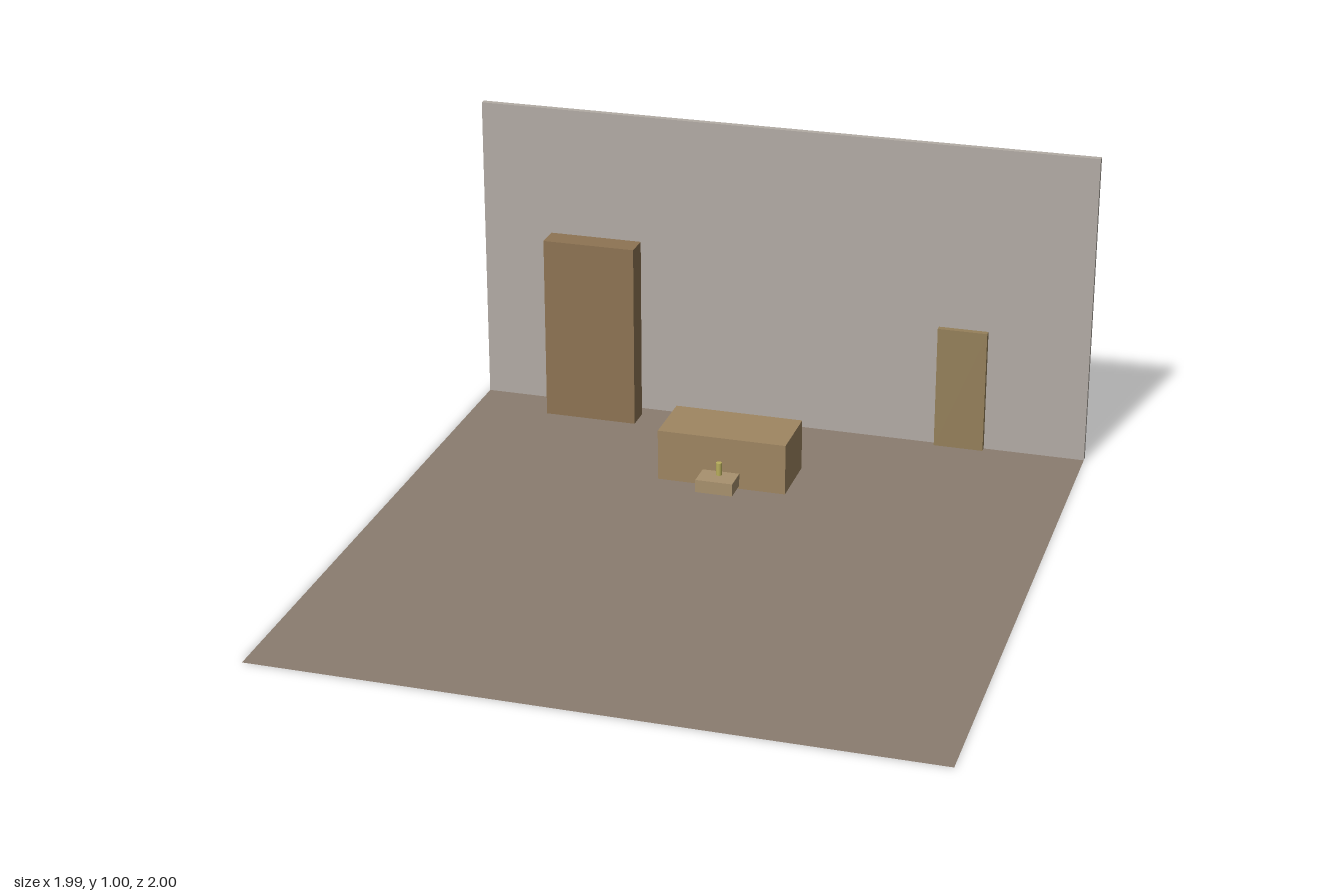
import * as THREE from 'three';

export function createModel() {
  const room = new THREE.Group();
  room.name = 'room';

  const add = (name, geometry, color, x, y, z) => {
    const mesh = new THREE.Mesh(geometry, new THREE.MeshStandardMaterial({ color }));
    mesh.name = name;
    mesh.position.set(x, y, z);
    room.add(mesh);
    return mesh;
  };

  // Box given by its extents along each axis
  const box = (name, color, [x0, x1], [y0, y1], [z0, z1]) =>
    add(name, new THREE.BoxGeometry(x1 - x0, y1 - y0, z1 - z0), color,
      (x0 + x1) / 2, (y0 + y1) / 2, (z0 + z1) / 2);

  // Floor sheet, seen from both sides
  const floor = add('floor', new THREE.PlaneGeometry(1.99, 1.99).rotateX(-Math.PI / 2), 0x8b7d70, 0, 0, 0.005);
  floor.material.side = THREE.DoubleSide;

  // Back wall
  box('backWall', 0xb3aca5, [-0.995, 0.995], [0, 1], [-1, -0.98]);

  // Furniture
  box('cabinet', 0x8e7453, [-0.75, -0.45], [0, 0.6], [-0.93, -0.85]);
  box('door', 0x95805a, [0.516, 0.674], [0, 0.4], [-0.98, -0.96]);
  box('desk', 0x9f8662, [-0.2, 0.2], [0.083, 0.243], [-0.495, -0.297]);
  box('seat', 0xa8916e, [-0.058, 0.057], [0.093, 0.133], [-0.331, -0.217]);

  // Small post standing on the seat
  add('post', new THREE.CylinderGeometry(0.009, 0.009, 0.04, 16), 0xb8ae5c, 0, 0.153, -0.273);

  return room;
}
